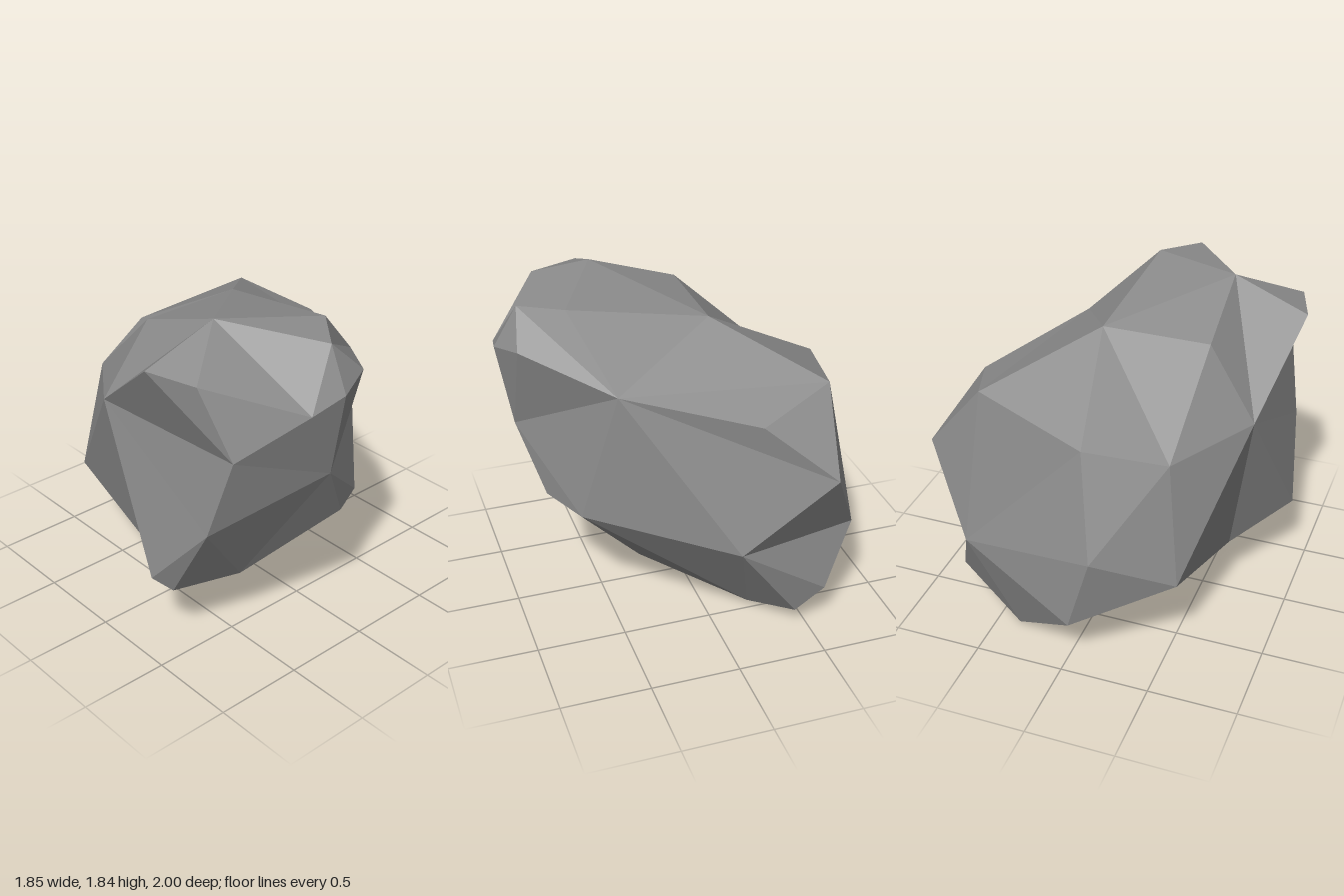
import * as THREE from 'three';
import { ConvexGeometry } from 'three/addons/geometries/ConvexGeometry.js';

// Corner points of the boulder, band by band: x, y, z and, where the surface
// dips inward, a factor that lifts the corner while the skin is wrapped.
const crown = [
  [-0.51, 1.84, 0.38, 1.1], [-0.17, 1.77, 0.87], [0.01, 1.79, 0.645], [-0.93, 1.68, 0.355],
  [-0.84, 1.67, 0.64], [-0.53, 1.67, -0.13], [0.07, 1.67, -0.13, 1.2],
];
const shoulder = [
  [0.02, 1.585, 0.915, 1.05], [-0.19, 1.54, 1.0, 1.1], [-0.39, 1.48, 0.97, 1.2],
  [-0.76, 1.29, 0.81, 1.2], [-0.8, 1.27, -0.18, 1.3], [-0.48, 1.21, -0.63, 1.2],
  [-0.06, 1.31, -0.8], [0.58, 1.44, -0.63], [0.75, 1.325, -0.2], [0.39, 1.43, 0.475, 1.25],
];
const waist = [
  [-0.19, 1.06, 0.915, 1.25], [-0.84, 0.85, 0.7, 1.1], [-0.57, 0.54, -0.745],
  [-0.17, 0.755, -1.0], [0.635, 0.57, -0.79, 1.3], [0.92, 1.03, -0.565],
  [0.81, 0.595, -0.075, 1.1], [0.27, 0.665, 0.665], [0.02, 0.695, 0.8],
];
const foot = [
  [-0.93, 0.455, 0.35], [-0.85, 0.38, 0.43], [-0.465, 0.365, 0.53], [0.12, 0.24, 0.3],
  [-0.65, 0.33, 0.0, 1.25], [-0.11, 0.05, -0.46], [-0.04, 0.31, -0.985], [0.37, 0.0, -0.71],
  [0.76, 0.24, -0.59, 1.05], [0.73, 0.1, -0.43], [0.47, 0.03, -0.24],
];

// Index of the point closest to v
function nearest(points, v) {
  let best = 0;
  points.forEach((p, i) => {
    if (p.distanceToSquared(v) < points[best].distanceToSquared(v)) best = i;
  });
  return best;
}

// Wraps a skin around the lifted corners, then lets each sink to its place
function facetedSkin(rows) {
  const centre = new THREE.Vector3(0, 0.9, 0);
  const corners = rows.map(([x, y, z]) => new THREE.Vector3(x, y, z));
  const lifted = corners.map((p, i) =>
    p.clone().sub(centre).multiplyScalar(rows[i][3] ?? 1).add(centre));
  const v = new THREE.Vector3();
  let geometry, owner;
  for (let pass = 0; pass < 80; pass++) {
    geometry = new ConvexGeometry(lifted);
    const pos = geometry.attributes.position;
    owner = [];
    for (let i = 0; i < pos.count; i++) owner.push(nearest(lifted, v.fromBufferAttribute(pos, i)));
    const used = new Set(owner);
    if (used.size === lifted.length) break;
    // raise the corners the skin has missed
    lifted.forEach((p, i) => {
      if (!used.has(i)) p.sub(centre).multiplyScalar(1.01).add(centre);
    });
  }
  const pos = geometry.attributes.position;
  owner.forEach((k, i) => pos.setXYZ(i, corners[k].x, corners[k].y, corners[k].z));
  geometry.computeVertexNormals(); // unshared corners give flat facets
  return geometry;
}

export function createModel() {
  const stone = new THREE.MeshStandardMaterial({ color: 0x8c8c8c });
  stone.name = 'stone grey';

  const boulder = new THREE.Mesh(facetedSkin([...crown, ...shoulder, ...waist, ...foot]), stone);
  boulder.name = 'boulder';

  const model = new THREE.Group();
  model.name = 'rock';
  model.add(boulder);
  return model;
}
